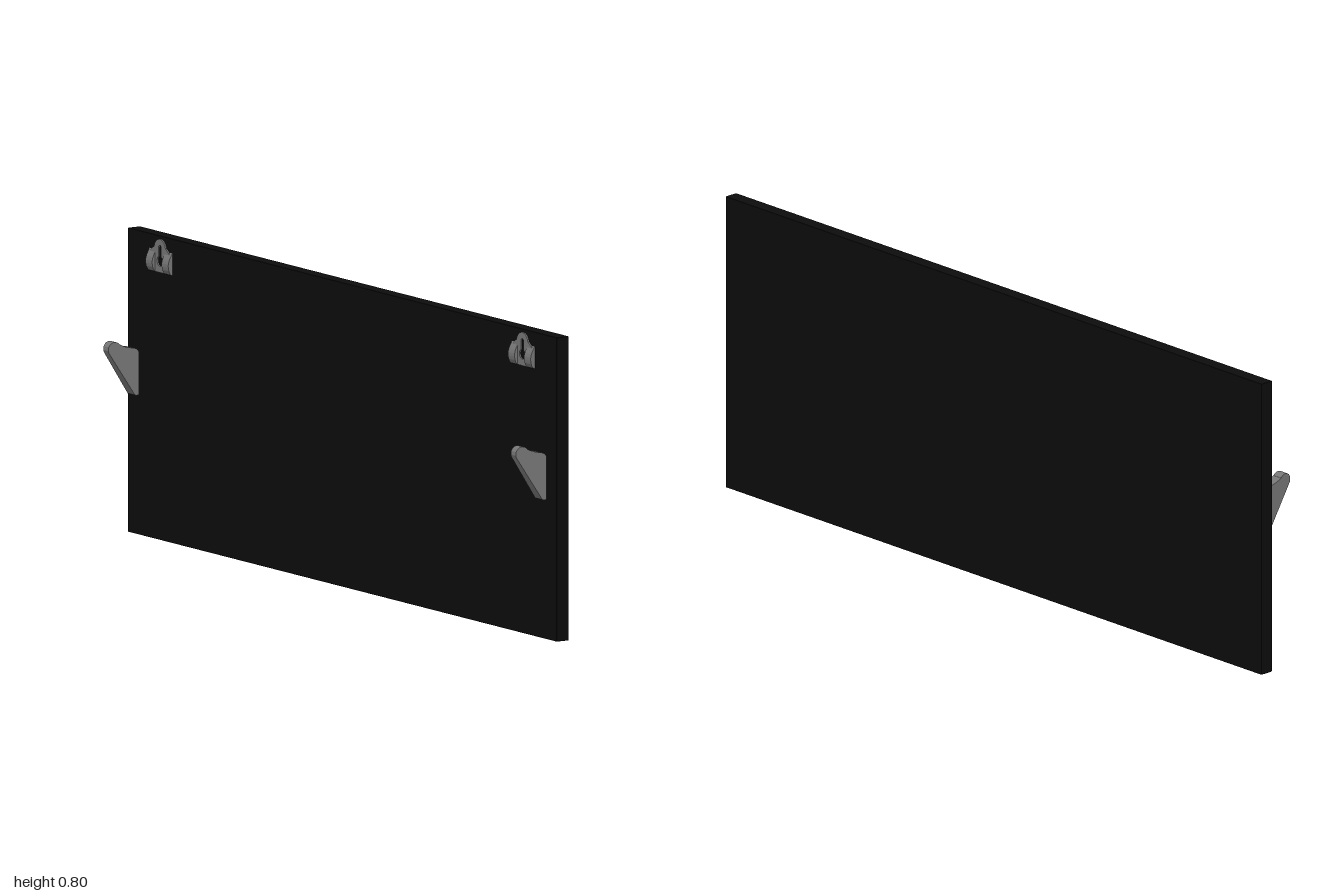
import * as THREE from 'three';
import { RoundedBoxGeometry } from 'three/addons/geometries/RoundedBoxGeometry.js';
import { toCreasedNormals } from 'three/addons/utils/BufferGeometryUtils.js';

const black = new THREE.MeshStandardMaterial({ color: 0x0c0c0c });
const grey = new THREE.MeshStandardMaterial({ color: 0x777777 });

function part(name, geometry, material) {
  const mesh = new THREE.Mesh(geometry, material);
  mesh.name = name;
  return mesh;
}

// Extrude an x-y outline, centred on z = 0
function extrude(shape, depth) {
  const g = new THREE.ExtrudeGeometry(shape, { depth, bevelEnabled: false, curveSegments: 12 });
  return g.translate(0, 0, -depth / 2);
}

// Hook: triangular web with a rounded tip, narrowing away from the wall
function hookGeometry() {
  const s = new THREE.Shape();
  s.moveTo(0.02, 0.368);
  s.lineTo(0.02, 0.482);
  s.quadraticCurveTo(0.016, 0.49, 0.006, 0.492);
  s.quadraticCurveTo(-0.022, 0.496, -0.034, 0.504);
  s.absarc(-0.051, 0.493, 0.019, 0.6, 3.75, false);
  s.lineTo(0.008, 0.37);
  s.quadraticCurveTo(0.009, 0.368, 0.012, 0.368);
  const g = extrude(s, 0.036);
  const p = g.attributes.position;
  for (let i = 0; i < p.count; i++) {
    const t = (0.02 - p.getX(i)) / 0.09;
    p.setZ(i, p.getZ(i) * (1 - 0.35 * t));
  }
  return toCreasedNormals(g, 0.5);
}

// Ear: half-moon cheek standing off the panel back
function earGeometry() {
  const s = new THREE.Shape();
  s.moveTo(0.031, 0.7);
  s.lineTo(0.031, 0.757);
  s.quadraticCurveTo(0.019, 0.74, 0.018, 0.725);
  s.quadraticCurveTo(0.019, 0.707, 0.027, 0.7);
  return toCreasedNormals(extrude(s, 0.031), 0.5);
}

// Arched hanger plate with a keyhole, turned to lie on the panel back
function plateGeometry() {
  const s = new THREE.Shape();
  s.moveTo(-0.053, 0.7);
  s.lineTo(0.053, 0.7);
  s.lineTo(0.053, 0.745);
  s.quadraticCurveTo(0.04, 0.758, 0.027, 0.765);
  s.absarc(0, 0.76, 0.027, 0.2, Math.PI - 0.2, false);
  s.quadraticCurveTo(-0.04, 0.758, -0.053, 0.745);
  const hole = new THREE.Path();
  hole.moveTo(-0.006, 0.765);
  hole.absarc(0, 0.765, 0.006, Math.PI, 0, true);
  hole.lineTo(0.006, 0.742);
  hole.absarc(0, 0.73, 0.013, 1.09, Math.PI - 1.09, true);
  s.holes.push(hole);
  return toCreasedNormals(extrude(s, 0.004).rotateY(-Math.PI / 2).translate(0.029, 0, 0), 0.5);
}

export function createModel() {
  const group = new THREE.Group();

  const panel = part('panel', new RoundedBoxGeometry(0.038, 0.795, 2, 2, 0.002), black);
  panel.position.set(0.05, 0.3975, 0);
  group.add(panel);

  const hook = hookGeometry(), ear = earGeometry(), plate = plateGeometry();
  for (const side of [-1, 1]) {
    const h = part('wallHook', hook, grey);
    h.position.z = side * 0.95;
    group.add(h);

    const hanger = new THREE.Group();
    hanger.name = 'hanger';
    hanger.position.z = side * 0.845;
    hanger.add(part('hangerPlate', plate, grey));
    for (const e of [-1, 1]) {
      const m = part('hangerEar', ear, grey);
      m.position.z = e * 0.0375;
      hanger.add(m);
    }
    group.add(hanger);
  }
  return group;
}
